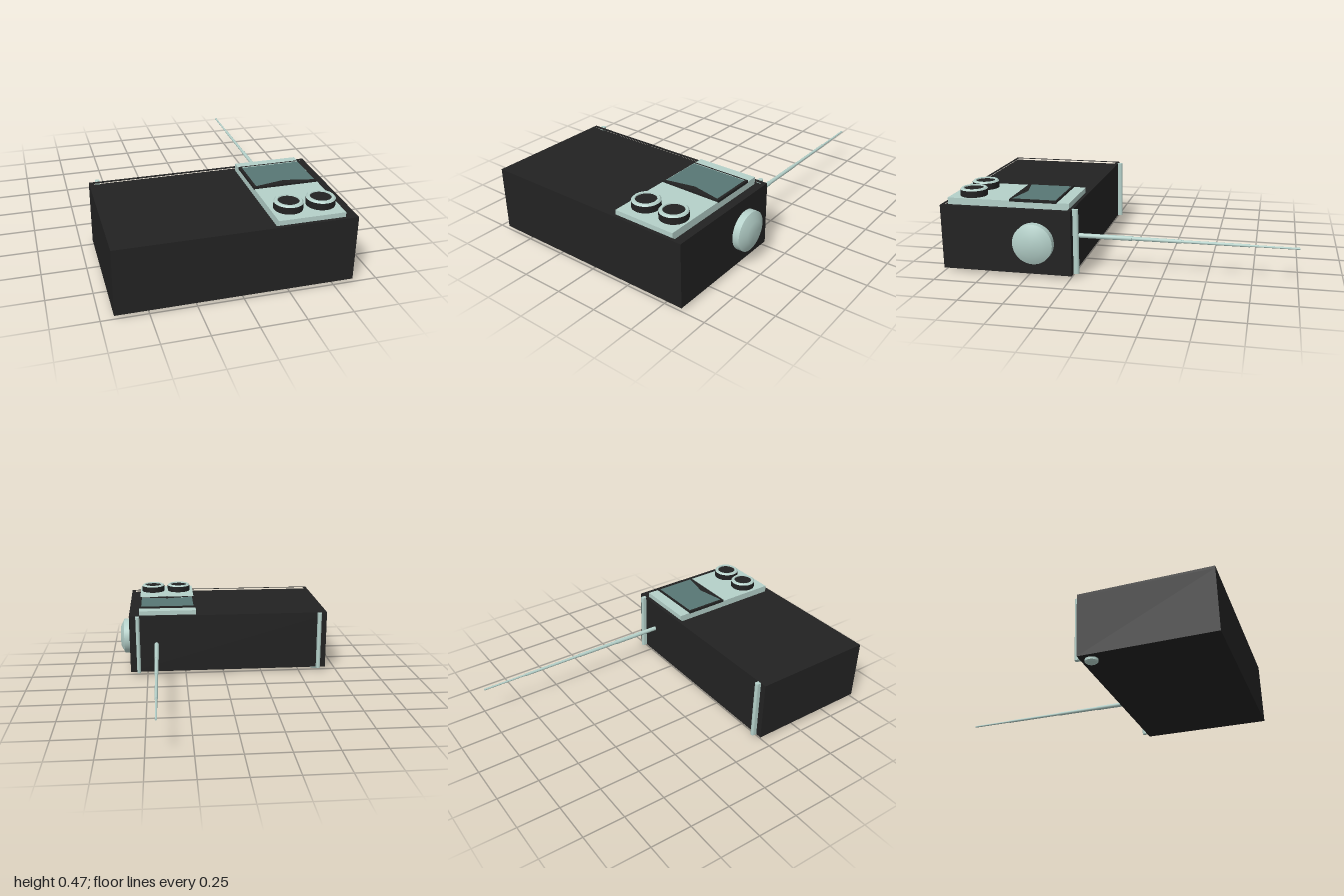
import * as THREE from 'three';
import { toCreasedNormals } from 'three/addons/utils/BufferGeometryUtils.js';

const black = new THREE.MeshStandardMaterial({ color: 0x222222 });
const mint = new THREE.MeshStandardMaterial({ color: 0xb4d0c9 });
const glass = new THREE.MeshStandardMaterial({ color: 0x587774 });

export function createModel() {
  const model = new THREE.Group();

  const add = (name, geometry, material, x = 0, y = 0, z = 0) => {
    const mesh = new THREE.Mesh(geometry, material);
    mesh.name = name;
    mesh.position.set(x, y, z);
    model.add(mesh);
    return mesh;
  };
  // Box given by its limits
  const box = (name, material, x0, x1, y0, y1, z0, z1) =>
    add(name, new THREE.BoxGeometry(x1 - x0, y1 - y0, z1 - z0), material,
      (x0 + x1) / 2, (y0 + y1) / 2, (z0 + z1) / 2);
  // Turned part from [radius, height] pairs, bottom to top
  const turned = (points, sides = 40) => toCreasedNormals(
    new THREE.LatheGeometry(points.map(p => new THREE.Vector2(...p)), sides), 0.5);
  // Flat plate drawn in x,z and extruded upwards
  const plate = (outline, hole, height) => {
    const toPoints = list => list.map(([x, z]) => new THREE.Vector2(x, -z));
    const shape = new THREE.Shape(toPoints(outline));
    if (hole) shape.holes.push(new THREE.Path(toPoints(hole)));
    return new THREE.ExtrudeGeometry(shape, { depth: height, bevelEnabled: false }).rotateX(-Math.PI / 2);
  };
  const rect = (x0, x1, z0, z1) => [[x0, z0], [x1, z0], [x1, z1], [x0, z1]];

  // Case with a raised rim around a shallow recessed lid
  box('caseBody', black, -0.68, 0.61, 0.02, 0.38, 0.24, 1);
  add('caseRim', plate(rect(-0.68, 0.61, 0.24, 1), rect(-0.655, 0.585, 0.262, 0.98), 0.015), black, 0, 0.38, 0);

  // Control panel, with screen and notched bezel
  box('controlPanel', mint, 0.177, 0.545, 0.375, 0.422, 0.265, 0.98);
  box('screen', glass, 0.185, 0.537, 0.415, 0.427, 0.34, 0.605);
  add('screenBezel', plate(rect(0.175, 0.547, 0.335, 0.61),
    [[0.19, 0.345], [0.532, 0.345], [0.532, 0.597], [0.361, 0.562], [0.19, 0.597]], 0.015), black, 0, 0.418, 0);
  const pivot = add('needlePivot', new THREE.CylinderGeometry(0.012, 0.012, 0.018, 20), black, 0.361, 0.428, 0.595);
  pivot.scale.y = 0.9;

  // Two knobs: dark skirt, pale bevelled ring, dark sunken cap
  for (const x of [0.275, 0.455]) {
    add('knobSkirt', new THREE.CylinderGeometry(0.078, 0.078, 0.04, 40), black, x, 0.44, 0.855);
    add('knobRing', turned([[0.078, 0], [0.07, 0.008], [0.058, 0.008], [0.056, 0]]), mint, x, 0.46, 0.855);
    add('knobCap', new THREE.CylinderGeometry(0.058, 0.058, 0.003, 40), black, x, 0.4605, 0.855);
  }

  // Side dial
  const dial = add('sideDial', turned([[0, 0], [0.115, 0], [0.115, 0.045], [0.066, 0.069], [0, 0.069]]),
    mint, 0.605, 0.207, 0.452);
  dial.rotation.z = -Math.PI / 2;

  // Rounded upright rails on the back
  for (const x of [-0.63, 0.556]) {
    box('backRail', mint, x - 0.0125, x + 0.0125, 0.02, 0.395, 0.222, 0.245);
    add('backRailEdge', new THREE.CylinderGeometry(0.0125, 0.0125, 0.375, 16), mint, x, 0.2075, 0.222);
  }

  // Small foot
  add('foot', turned([[0, 0], [0.03, 0], [0.037, 0.006], [0.037, 0.022], [0, 0.022]], 24), mint, -0.618, 0, 0.3);

  // Telescopic aerial
  const stops = [0.25, -0.07, -0.35, -0.73, -1];
  [0.0135, 0.011, 0.0085, 0.006].forEach((radius, i) => {
    const length = stops[i] - stops[i + 1];
    const tube = add('aerialSection', new THREE.CylinderGeometry(radius, radius, length, 16), mint,
      0.437, 0.206, (stops[i] + stops[i + 1]) / 2);
    tube.rotation.x = Math.PI / 2;
  });

  return model;
}
